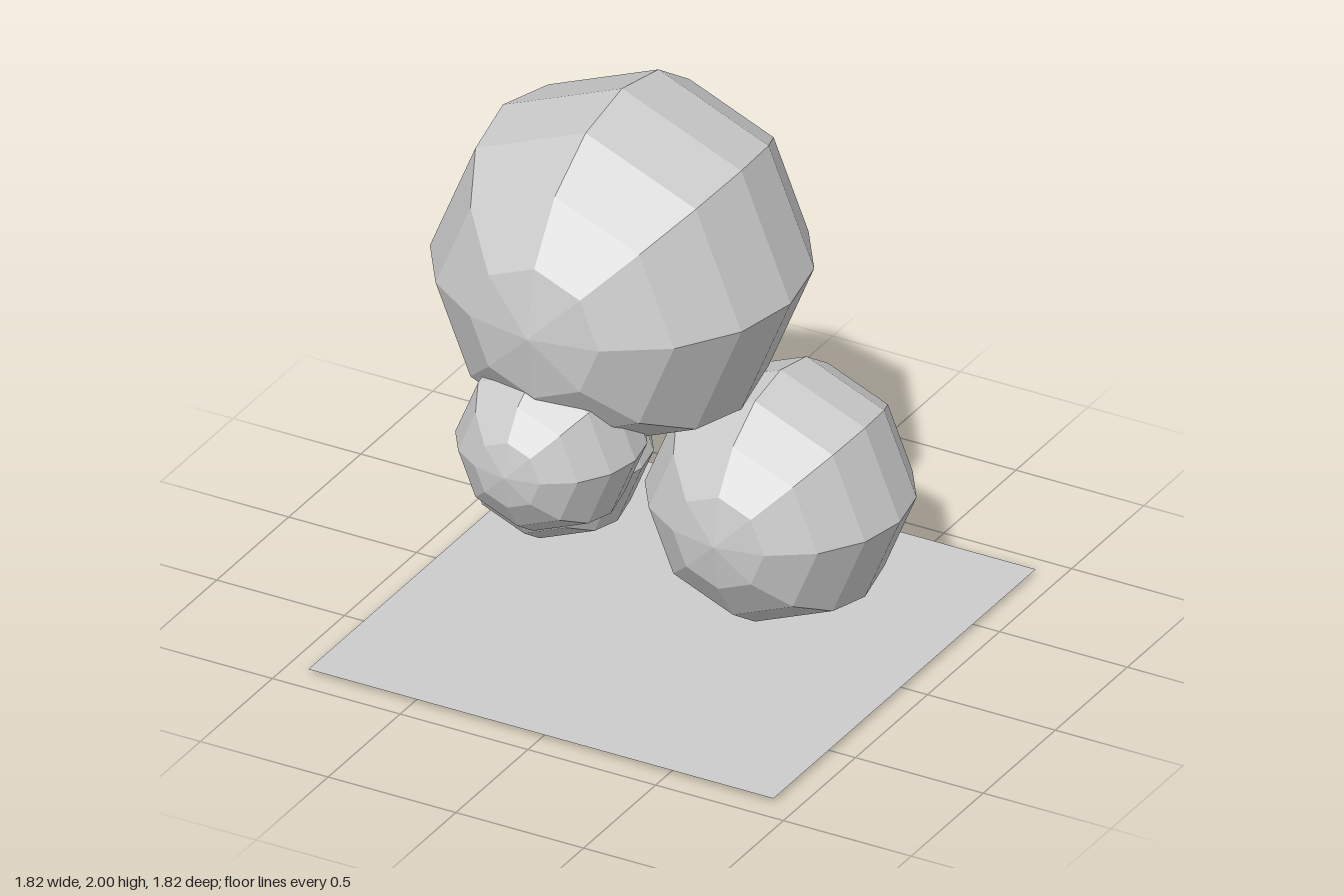
import * as THREE from 'three';

// Low-poly balls: name, radius, centre
const BALLS = [
  ['largeBall', 0.66, [-0.235, 1.34, -0.07]],
  ['mediumBall', 0.467, [0.27, 0.47, -0.275]],
  ['frontSmallBall', 0.33, [-0.275, 0.83, 0.35]],
  ['backSmallBall', 0.33, [-0.54, 0.473, -0.165]],
];

export function createModel() {
  const group = new THREE.Group();
  group.name = 'stackedBalls';
  const material = new THREE.MeshStandardMaterial({ color: 0xcccccc, flatShading: true });

  // Eight-sided spheres with their poles facing front and back
  for (const [name, radius, centre] of BALLS) {
    const ball = new THREE.Mesh(new THREE.SphereGeometry(radius, 8, 8).rotateX(Math.PI / 2), material);
    ball.name = name;
    ball.position.set(...centre);
    group.add(ball);
  }

  // Thin square floor, pierced slightly by the medium ball
  const floor = new THREE.Mesh(
    new THREE.PlaneGeometry(1.82, 1.82).rotateX(-Math.PI / 2),
    new THREE.MeshStandardMaterial({ color: 0xcccccc, flatShading: true, side: THREE.DoubleSide })
  );
  floor.name = 'floor';
  floor.position.y = 0.02;
  group.add(floor);

  return group;
}
